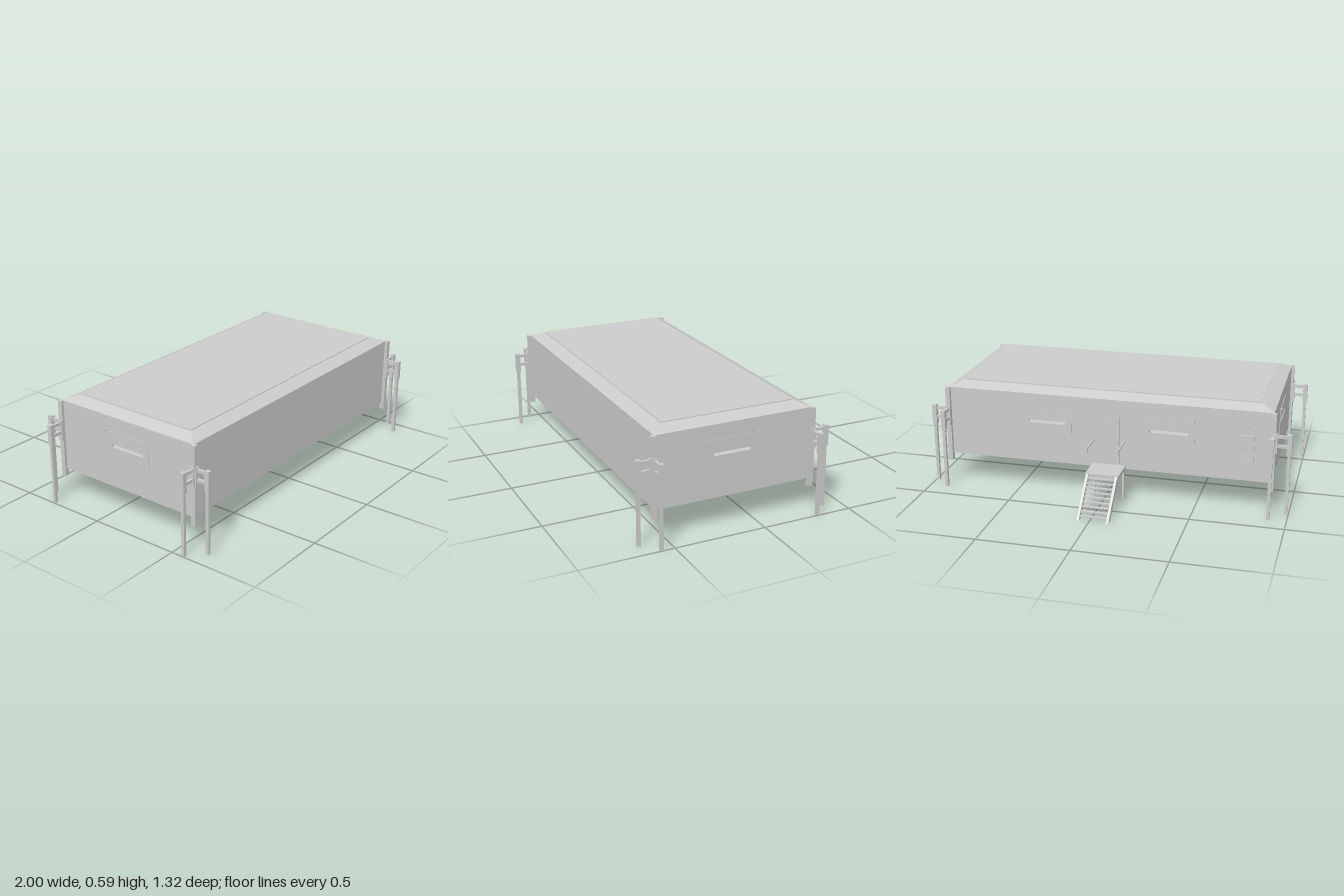
import * as THREE from 'three';

export function createModel() {
  const model = new THREE.Group();
  const mat = new THREE.MeshStandardMaterial({ color: 0xcccccc, flatShading: true });
  const ZC = 0.126;                       // centre of the cabin in z
  const W = 1.8, D = 0.87, Y0 = 0.17, Y1 = 0.56, H = Y1 - Y0, T = 0.012;

  const add = (parent, name, geo, x = 0, y = 0, z = 0) => {
    const m = new THREE.Mesh(geo, mat);
    m.name = name;
    m.position.set(x, y, z);
    parent.add(m);
    return m;
  };
  const box = (parent, name, w, h, d, x, y, z) =>
    add(parent, name, new THREE.BoxGeometry(w, h, d), x, y, z);
  const rect = (P, cx, cy, w, h) => {
    const p = new P();
    p.moveTo(cx - w / 2, cy - h / 2);
    p.lineTo(cx + w / 2, cy - h / 2);
    p.lineTo(cx + w / 2, cy + h / 2);
    p.lineTo(cx - w / 2, cy + h / 2);
    p.closePath();
    return p;
  };
  const extrude = (shape, depth) => new THREE.ExtrudeGeometry(shape, { depth, bevelEnabled: false });

  // Wall in local xy (outer face at z = 0), with slotted shutters at the given local x
  const SLOT_Y = 0.4025 - Y0, PANEL_Y = 0.395 - Y0;
  function wall(name, width, shutters, knobSide) {
    const g = new THREE.Group();
    g.name = name;
    const s = rect(THREE.Shape, 0, H / 2, width, H);
    shutters.forEach(x => s.holes.push(rect(THREE.Path, x, SLOT_Y, 0.21, 0.016)));
    add(g, 'wallPanel', extrude(s, T), 0, 0, -T);
    shutters.forEach(x => {
      const p = rect(THREE.Shape, x, PANEL_Y, 0.28, 0.168);
      p.holes.push(rect(THREE.Path, x, SLOT_Y, 0.21, 0.016));
      add(g, 'shutter', extrude(p, 0.003));
      box(g, 'shutterLatch', 0.008, 0.012, 0.012, x + knobSide * 0.143, 0.48 - Y0, 0.005);
    });
    model.add(g);
    return g;
  }
  const place = (g, x, z, ry) => {
    g.position.set(x, Y0, z);
    g.rotation.y = ry;
  };
  place(wall('frontWall', W, [], 1), 0, ZC + D / 2, 0);
  place(wall('leftWall', D, [-0.012], 1), W / 2, ZC, Math.PI / 2);
  place(wall('rightWall', D, [0.012], -1), -W / 2, ZC, -Math.PI / 2);
  const back = wall('backWall', W, [-0.332, 0.345], -1);
  place(back, 0, ZC - D / 2, Math.PI);

  // Door and cabinet on the back wall
  box(back, 'door', 0.115, 0.27, 0.004, 0.02, 0.16, 0.001);
  box(back, 'doorHandle', 0.006, 0.018, 0.008, 0.062, 0.15, 0.005);
  const cab = rect(THREE.Shape, 0.767, 0.183, 0.075, 0.145);
  cab.holes.push(rect(THREE.Path, 0.767, 0.183, 0.05, 0.115));
  add(back, 'cabinetFrame', extrude(cab, 0.012));
  box(back, 'cabinetDoor', 0.05, 0.115, 0.006, 0.767, 0.183, 0.003);
  box(back, 'cabinetLamp', 0.012, 0.012, 0.01, 0.767, 0.305, 0.004);
  box(back, 'wallVent', 0.01, 0.01, 0.008, 0.48, 0.29, 0.003);

  // Floor and hipped roof edge with a flat panel on top
  box(model, 'floor', W, T, D, 0, Y0 + T / 2, ZC);
  const roofGeo = new THREE.BoxGeometry(W, 0.027, D);
  const pos = roofGeo.attributes.position;
  for (let i = 0; i < pos.count; i++) {
    if (pos.getY(i) > 0) {
      pos.setX(i, pos.getX(i) - Math.sign(pos.getX(i)) * 0.062);
      pos.setZ(i, pos.getZ(i) - Math.sign(pos.getZ(i)) * 0.062);
    }
  }
  roofGeo.computeVertexNormals();
  add(model, 'roofEdge', roofGeo, 0, Y1 + 0.0135, ZC);
  box(model, 'roofPanel', W - 0.145, 0.006, D - 0.145, 0, 0.588, ZC);

  // Corner posts, each carrying two outrigger legs on paired arms
  for (const sx of [-1, 1]) for (const sz of [-1, 1]) {
    const g = new THREE.Group();
    g.name = 'cornerSupport';
    model.add(g);
    const px = sx * 0.9025, pz = ZC + sz * 0.44;
    box(g, 'cornerPost', 0.026, 0.43, 0.026, px, 0.345, pz);
    for (const [dx, dz] of [[sx, 0], [0, sz]]) {
      const lx = px + dx * 0.085, lz = pz + dz * 0.0825;
      box(g, 'legSleeve', 0.025, 0.11, 0.025, lx, 0.395, lz);
      box(g, 'supportLeg', 0.017, 0.35, 0.017, lx, 0.175, lz);
      for (const y of [0.383, 0.435]) {
        box(g, 'supportArm', dx ? 0.085 : 0.014, 0.016, dz ? 0.085 : 0.014,
          (px + lx) / 2, y, (pz + lz) / 2);
      }
      box(g, 'armBracket', dx ? 0.01 : 0.026, 0.11, dz ? 0.01 : 0.026,
        px + dx * 0.016, 0.395, pz + dz * 0.016);
    }
  }

  // Entrance landing with rounded outer corners
  const stairs = new THREE.Group();
  stairs.name = 'entranceStairs';
  model.add(stairs);
  const SX = -0.0175, w = 0.0925, r = 0.015;
  const land = new THREE.Shape();
  land.moveTo(-w, 0.31);
  land.lineTo(w, 0.31);
  land.lineTo(w, 0.468 - r);
  land.quadraticCurveTo(w, 0.468, w - r, 0.468);
  land.lineTo(-w + r, 0.468);
  land.quadraticCurveTo(-w, 0.468, -w, 0.468 - r);
  const landGeo = extrude(land, 0.02).rotateX(-Math.PI / 2);
  add(stairs, 'landing', landGeo, SX, 0.17, 0);

  // Sloping stringers, landing legs and handrails on both sides
  const side = new THREE.Shape();
  [[0.44, 0.172], [0.62, 0], [0.66, 0], [0.465, 0.19], [0.44, 0.19]].forEach(
    ([z, y], i) => (i ? side.lineTo(z, y) : side.moveTo(z, y)));
  const sideGeo = extrude(side, 0.014).translate(0, 0, -0.007).rotateY(Math.PI / 2);
  for (const s of [-1, 1]) {
    const x = SX + s * 0.08;
    add(stairs, 'stringer', sideGeo, x, 0, 0);
    box(stairs, 'landingLeg', 0.013, 0.17, 0.016, SX + s * 0.083, 0.085, -0.32);
    box(stairs, 'handrail', 0.007, 0.007, 0.15, SX + s * 0.085, 0.325, -0.386);
    box(stairs, 'handrailEnd', 0.007, 0.025, 0.007, SX + s * 0.085, 0.314, -0.457);
  }

  // Treads
  for (let i = 0; i < 9; i++) {
    const t = (i + 0.6) / 9;
    box(stairs, 'tread', 0.148, 0.006, 0.017, SX, 0.178 - t * 0.172, -0.46 - t * 0.175);
  }
  return model;
}
